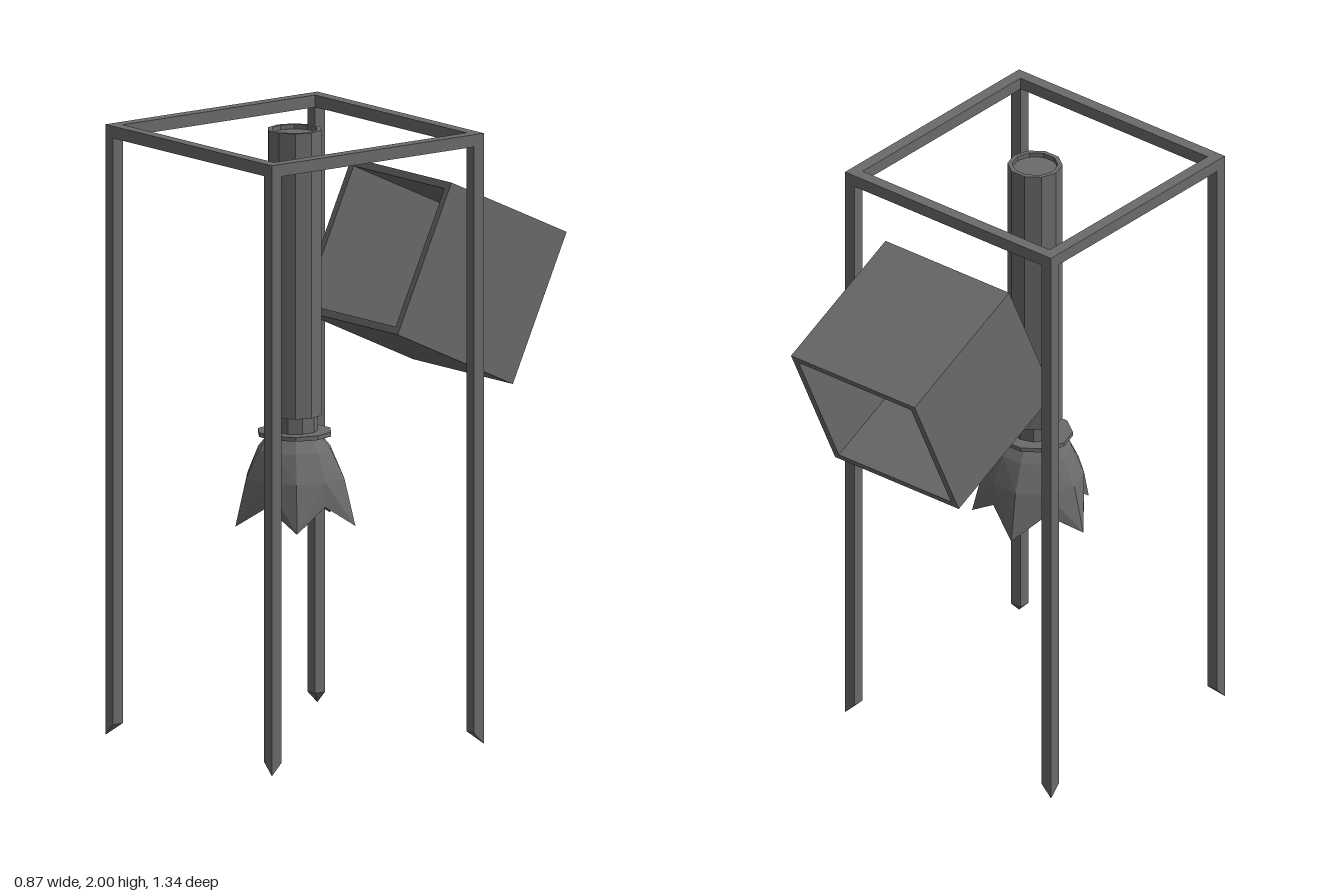
import * as THREE from 'three';

export function createModel() {
  const model = new THREE.Group();
  const grey = new THREE.MeshStandardMaterial({ color: 0x6b6b6b, flatShading: true, side: THREE.DoubleSide });

  const add = (parent, name, geometry, x = 0, y = 0, z = 0) => {
    const mesh = new THREE.Mesh(geometry, grey);
    mesh.name = name;
    mesh.position.set(x, y, z);
    parent.add(mesh);
    return mesh;
  };

  // Square outline with a square hole, extruded along z
  const squareTube = (half, wall, depth) => {
    const square = (h) => [[-h, -h], [h, -h], [h, h], [-h, h]].map((p) => new THREE.Vector2(...p));
    const shape = new THREE.Shape(square(half));
    shape.holes.push(new THREE.Path(square(half - wall).reverse()));
    return new THREE.ExtrudeGeometry(shape, { depth, bevelEnabled: false }).translate(0, 0, -depth / 2);
  };

  const centreZ = 0.237;
  const half = 0.433;
  const bar = 0.04;

  // Stand: square top ring and four legs
  const stand = new THREE.Group();
  stand.name = 'stand';
  stand.position.z = centreZ;
  model.add(stand);
  add(stand, 'topRing', squareTube(half, bar, bar).rotateX(Math.PI / 2), 0, 2 - bar / 2, 0);

  // Leg with a mitred foot: only the outer corner reaches the ground
  const legHeight = 2 - bar;
  const leg = new THREE.BoxGeometry(bar, legHeight, bar).translate(half - bar / 2, legHeight / 2, half - bar / 2);
  const p = leg.attributes.position;
  for (let i = 0; i < p.count; i++) {
    const outer = p.getX(i) > half - 0.01 && p.getZ(i) > half - 0.01;
    if (p.getY(i) < 0.01 && !outer) p.setY(i, bar);
  }
  for (let i = 0; i < 4; i++) add(stand, 'leg', leg).rotation.y = (i * Math.PI) / 2;

  // Tilted open box behind the stand
  add(model, 'openBox', squareTube(0.26, 0.024, 0.519), 0, 1.465, -0.325).rotation.x = THREE.MathUtils.degToRad(-25);

  // Hanging tube: outer sleeve, inner pipe and collar
  const hanger = new THREE.Group();
  hanger.name = 'hanger';
  hanger.position.z = centreZ;
  model.add(hanger);
  const sleeve = [[0.074, 1.065], [0.089, 1.065], [0.089, 2], [0.074, 2], [0.074, 1.065]];
  add(hanger, 'sleeve', new THREE.LatheGeometry(sleeve.map((q) => new THREE.Vector2(...q)), 10)).rotation.y = Math.PI / 2;
  add(hanger, 'innerPipe', new THREE.CylinderGeometry(0.075, 0.075, 0.99, 10), 0, 1.49, 0);
  add(hanger, 'collar', new THREE.CylinderGeometry(0.122, 0.122, 0.014, 10), 0, 1.006, 0).rotation.y = Math.PI / 2;

  // Five-pointed bell: rings of [tip radius, tip y, valley radius, valley y]
  const rings = [
    [0.085, 1.0, 0.085, 1.0],
    [0.122, 0.955, 0.122, 0.955],
    [0.166, 0.865, 0.158, 0.865],
    [0.203, 0.71, 0.158, 0.785],
    [0, 0.86, 0, 0.86],
  ];
  const positions = [];
  const index = [];
  rings.forEach(([tipR, tipY, valleyR, valleyY], k) => {
    for (let i = 0; i < 10; i++) {
      const angle = Math.PI + (i * Math.PI) / 5;
      const r = i % 2 ? valleyR : tipR;
      positions.push(r * Math.cos(angle), i % 2 ? valleyY : tipY, r * Math.sin(angle));
      if (k === 0) continue;
      const j = (i + 1) % 10;
      const a = (k - 1) * 10 + i, b = (k - 1) * 10 + j, c = k * 10 + i, d = k * 10 + j;
      // Diagonals run from each upper valley to the tip below it
      if (i % 2) index.push(a, b, d, a, d, c);
      else index.push(a, b, c, b, d, c);
    }
  });
  const bell = new THREE.BufferGeometry();
  bell.setAttribute('position', new THREE.Float32BufferAttribute(positions, 3));
  bell.setIndex(index);
  bell.computeVertexNormals();
  add(hanger, 'bell', bell);

  return model;
}
